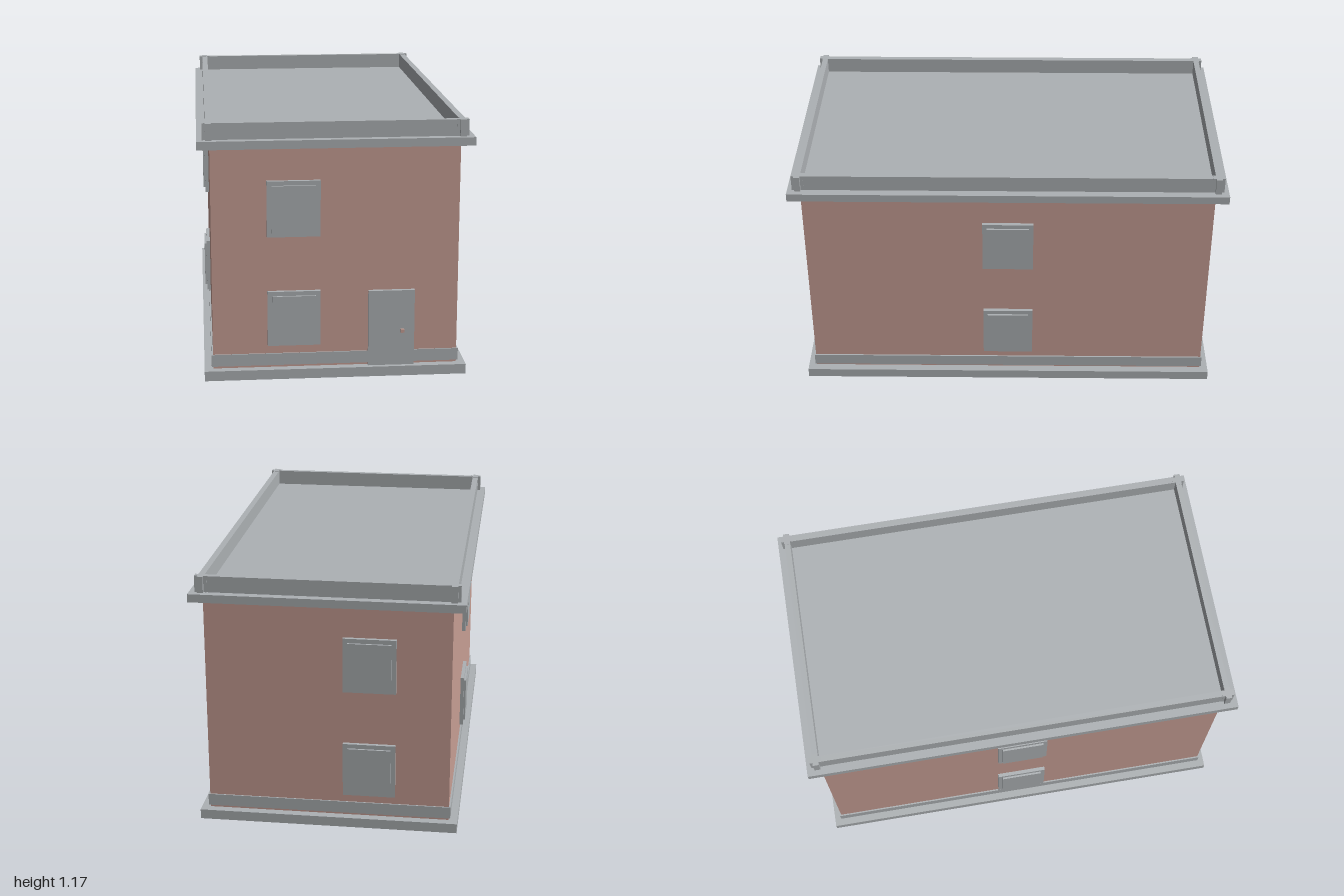
import * as THREE from 'three';

export function createModel() {
  const model = new THREE.Group();
  model.name = 'house';

  const brick = new THREE.MeshStandardMaterial({ color: 0xc89f95 });
  brick.name = 'salmon wall';
  const stone = new THREE.MeshStandardMaterial({ color: 0xadb1b4 });
  stone.name = 'grey stone';

  // Box given by its min and max corner
  function box(name, material, min, max, parent = model) {
    const size = max.map((v, i) => v - min[i]);
    const mesh = new THREE.Mesh(new THREE.BoxGeometry(...size), material);
    mesh.position.set(...min.map((v, i) => v + size[i] / 2));
    mesh.name = name;
    parent.add(mesh);
    return mesh;
  }

  // Slab centred on the vertical axis
  const slab = (name, material, x, z, y0, y1) =>
    box(name, material, [-x, y0, -z], [x, y1, z]);

  // Body
  const wallX = 0.548, wallZ = 0.945;
  slab('baseSlab', stone, 0.587, 0.983, 0, 0.045);
  slab('walls', brick, wallX, wallZ, 0.045, 1.055);
  slab('plinth', stone, 0.555, 0.951, 0.055, 0.11);
  slab('cornice', stone, 0.604, 1, 1.055, 1.092);

  // Parapet: hollow rectangle around the flat roof
  const roofY = 1.092, parapetHeight = 0.073;
  const rect = (shape, x, z) => {
    shape.moveTo(-x, -z);
    shape.lineTo(x, -z);
    shape.lineTo(x, z);
    shape.lineTo(-x, z);
    shape.closePath();
    return shape;
  };
  const ring = rect(new THREE.Shape(), 0.565, 0.963);
  ring.holes.push(rect(new THREE.Path(), 0.537, 0.937));
  const ringGeometry = new THREE.ExtrudeGeometry(ring, { depth: parapetHeight, bevelEnabled: false });
  ringGeometry.rotateX(-Math.PI / 2);
  const parapet = new THREE.Mesh(ringGeometry, stone);
  parapet.position.y = roofY;
  parapet.name = 'parapet';
  model.add(parapet);

  // Cross-shaped posts at the parapet corners
  const long = 0.027, short = 0.0135;
  const cross = new THREE.Shape([
    [long, -short], [long, short], [short, short], [short, long],
    [-short, long], [-short, short], [-long, short], [-long, -short],
    [-short, -short], [-short, -long], [short, -long], [short, -short],
  ].map(([x, y]) => new THREE.Vector2(x, y)));
  const postGeometry = new THREE.ExtrudeGeometry(cross, { depth: parapetHeight + 0.001, bevelEnabled: false });
  postGeometry.rotateX(-Math.PI / 2);
  for (const sx of [-1, 1]) {
    for (const sz of [-1, 1]) {
      const post = new THREE.Mesh(postGeometry, stone);
      post.position.set(sx * 0.552, roofY, sz * 0.951);
      post.name = 'cornerPost';
      model.add(post);
    }
  }

  // Window: frame with a raised pane, facing +z before turning
  function addWindow(x, y, z, turn) {
    const group = new THREE.Group();
    group.name = 'window';
    box('windowFrame', stone, [-0.118, -0.126, -0.01], [0.118, 0.126, 0.017], group);
    box('windowPane', stone, [-0.097, -0.106, 0], [0.097, 0.106, 0.026], group);
    group.position.set(x, y, z);
    group.rotation.y = turn;
    model.add(group);
  }
  for (const y of [0.276, 0.778]) {
    addWindow(-0.186, y, wallZ, 0);
    addWindow(-0.186, y, -wallZ, Math.PI);
    addWindow(wallX, y, 0, Math.PI / 2);
    addWindow(-wallX, y, 0, -Math.PI / 2);
  }

  // Door and handle
  box('door', stone, [0.146, 0.045, 0.93], [0.353, 0.395, 0.963]);
  box('doorHandle', brick, [0.291, 0.2, 0.96], [0.307, 0.215, 0.977]);

  return model;
}
